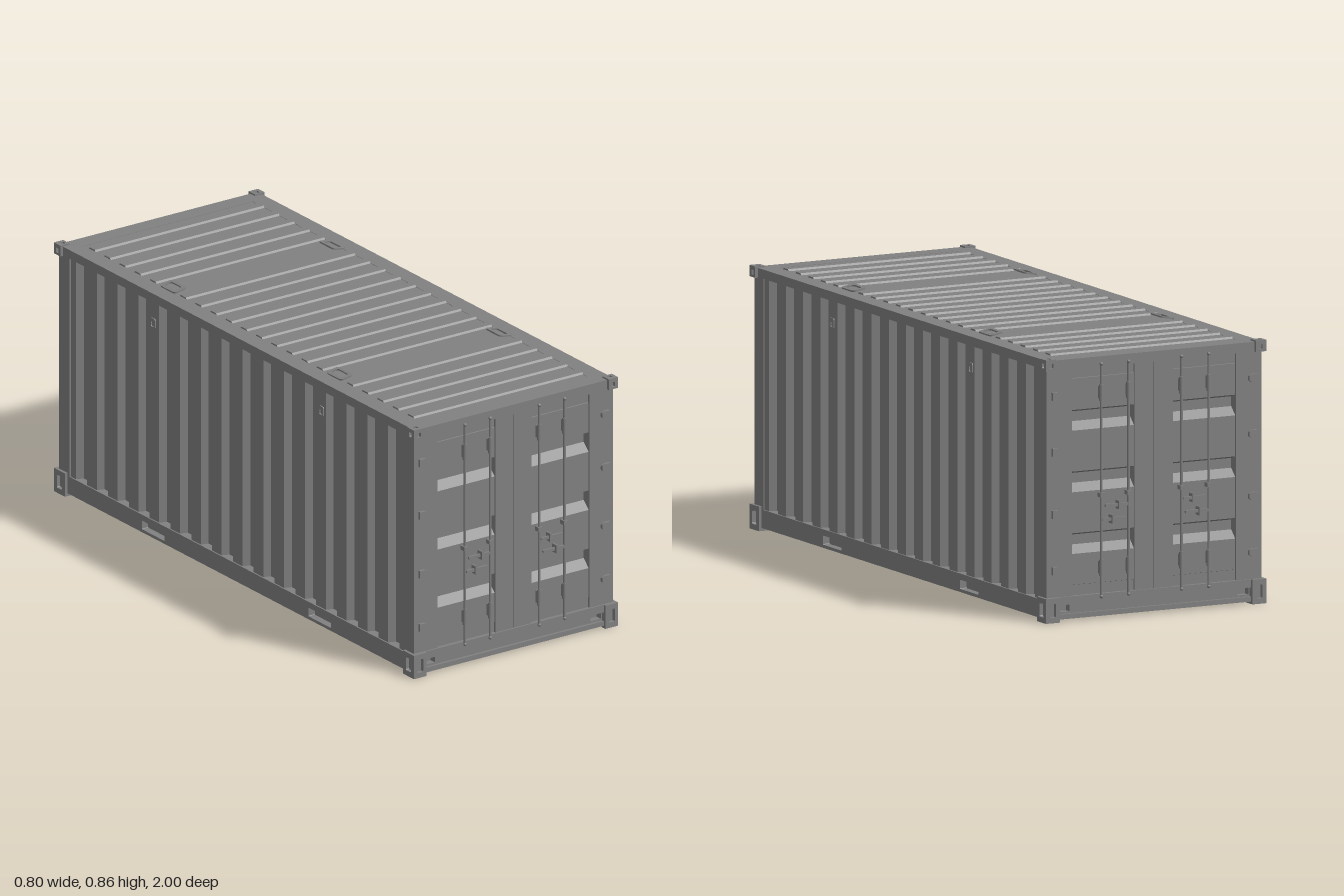
import * as THREE from 'three';

const mat = new THREE.MeshStandardMaterial({ color: 0x808080 });

function add(parent, name, geo, x = 0, y = 0, z = 0) {
  const m = new THREE.Mesh(geo, mat);
  m.name = name;
  m.position.set(x, y, z);
  parent.add(m);
  return m;
}

// Box given by its min and max on each axis
function box(parent, name, x0, x1, y0, y1, z0, z1) {
  return add(parent, name, new THREE.BoxGeometry(x1 - x0, y1 - y0, z1 - z0),
    (x0 + x1) / 2, (y0 + y1) / 2, (z0 + z1) / 2);
}

function roundRect(target, cx, cy, w, h, r) {
  const a = cx - w / 2, b = cx + w / 2, c = cy - h / 2, d = cy + h / 2;
  target.moveTo(a + r, c).lineTo(b - r, c).quadraticCurveTo(b, c, b, c + r)
    .lineTo(b, d - r).quadraticCurveTo(b, d, b - r, d)
    .lineTo(a + r, d).quadraticCurveTo(a, d, a, d - r)
    .lineTo(a, c + r).quadraticCurveTo(a, c, a + r, c);
  return target;
}

const poly = pts => new THREE.Shape(pts.map(p => new THREE.Vector2(p[0], p[1])));
const rect = (x0, x1, y0, y1) => poly([[x0, y0], [x1, y0], [x1, y1], [x0, y1]]);
const extrude = (shape, depth) => new THREE.ExtrudeGeometry(shape, { depth, bevelEnabled: false, curveSegments: 5 });

// Sends the extrusion's own axes to the given world axes
const X = new THREE.Vector3(1, 0, 0), Y = new THREE.Vector3(0, 1, 0), Z = new THREE.Vector3(0, 0, 1);
const orient = (geo, a, b, c) => geo.applyMatrix4(new THREE.Matrix4().makeBasis(a, b, c));
const alongX = (shape, w) => orient(extrude(shape, w).translate(0, 0, -w / 2), Z, Y, X.clone().negate());

// Corner block with an opening in each outer face
function cornerBlock(parent, sx, sz, y0, y1, w, d, top) {
  const g = new THREE.Group(), h = y1 - y0, t = 0.013;
  g.name = top ? 'upperCorner' : 'lowerCorner';
  const plate = (a, b) => {
    const s = rect(-a / 2, a / 2, -b / 2, b / 2);
    s.holes.push(roundRect(new THREE.Path(), 0, 0, a * 0.46, b * 0.56, 0.005));
    return extrude(s, t).translate(0, 0, -t);
  };
  const cx = sx * (0.4 - w / 2), cy = (y0 + y1) / 2, cz = sz * (0.995 - d / 2);
  const front = add(g, 'cornerEndPlate', plate(w, h), cx, cy, sz * 0.995);
  front.rotation.y = sz > 0 ? 0 : Math.PI;
  add(g, 'cornerSidePlate', plate(d, h), sx * 0.4, cy, cz).rotation.y = sx * Math.PI / 2;
  add(g, 'cornerFacePlate', plate(w, d), cx, top ? y1 : y0, cz).rotation.x = top ? -Math.PI / 2 : Math.PI / 2;
  add(g, 'cornerCore', new THREE.BoxGeometry(w - 2 * t, h - 2 * t, d - 2 * t), cx, cy, cz);
  // Closing plates toward the container
  const c = 0.006;
  add(g, 'cornerInnerPlate', new THREE.BoxGeometry(c, h, d), cx - sx * (w - c) / 2, cy, cz);
  add(g, 'cornerBackPlate', new THREE.BoxGeometry(w, h, c), cx, cy, cz - sz * (d - c) / 2);
  add(g, 'cornerClosingPlate', new THREE.BoxGeometry(w, c, d), cx, top ? y0 + c / 2 : y1 - c / 2, cz);
  parent.add(g);
}

// Long side on +x: corrugated wall, rails, fork pockets, vents
function makeSide() {
  const g = new THREE.Group();
  g.name = 'side';
  const pts = [[-0.93, 0.345], [-0.93, 0.385]];
  for (let i = 0; i < 16; i++) {
    const z = -0.8625 + i * 0.115;
    pts.push([z - 0.031, 0.385], [z - 0.023, 0.36], [z + 0.023, 0.36], [z + 0.031, 0.385]);
  }
  pts.push([0.93, 0.385], [0.93, 0.345]);
  add(g, 'corrugatedWall', orient(extrude(poly(pts), 0.76), Z, X, Y), 0, 0.065, 0);
  box(g, 'topRail', 0.33, 0.39, 0.82, 0.85, -0.965, 0.965);
  const rail = rect(-0.94, 0.94, 0.01, 0.07);
  for (const z of [-0.46, 0.46]) rail.holes.push(roundRect(new THREE.Path(), z, 0.035, 0.125, 0.03, 0.003));
  add(g, 'bottomRail', alongX(rail, 0.025), 0.3775, 0, 0);
  box(g, 'railBack', 0.355, 0.365, 0.012, 0.07, -0.94, 0.94);
  for (const z of [-0.465, 0.465]) {
    const vent = roundRect(new THREE.Shape(), z, 0.747, 0.026, 0.034, 0.006);
    vent.holes.push(roundRect(new THREE.Path(), z, 0.744, 0.016, 0.018, 0.004));
    add(g, 'vent', alongX(vent, 0.03), 0.374, 0, 0);
  }
  return g;
}

// Rod with sleeves, brackets and end pins
function lockRod(parent, x) {
  const g = new THREE.Group();
  g.name = 'lockRod';
  const cyl = (n, r, h, y) => add(g, n, new THREE.CylinderGeometry(r, r, h, 10), x, y, 0.987);
  cyl('rod', 0.0045, 0.755, 0.45);
  for (const y of [0.165, 0.733]) {
    cyl('rodSleeve', 0.0075, 0.054, y);
    box(g, 'sleeveBase', x - 0.005, x + 0.005, y - 0.02, y + 0.02, 0.97, 0.987);
  }
  box(g, 'rodBracket', x - 0.008, x + 0.008, 0.394, 0.408, 0.97, 0.995);
  for (const y of [0.071, 0.826]) add(g, 'rodPin', new THREE.SphereGeometry(0.006, 10, 8), x, y, 0.988);
  parent.add(g);
}

function handle(parent, x0, x1, y, gripX) {
  const bar = roundRect(new THREE.Shape(), (x0 + x1) / 2, y, Math.abs(x1 - x0), 0.01, 0.004);
  add(parent, 'handleBar', extrude(bar, 0.007), 0, 0, 0.987);
  const grip = roundRect(new THREE.Shape(), gripX, y, 0.008, 0.03, 0.0035);
  add(parent, 'handleCatch', extrude(grip, 0.024), 0, 0, 0.976);
}

// Door end on +z
function makeEnd() {
  const g = new THREE.Group();
  g.name = 'doorEnd';
  box(g, 'header', -0.39, 0.39, 0.817, 0.85, 0.925, 0.985);
  // Sill with a set-back web between two lips, and lashing recesses
  const sill = rect(-0.36, 0.36, 0.022, 0.08);
  for (const s of [-1, 1]) sill.holes.push(roundRect(new THREE.Path(), s * 0.325, 0.041, 0.04, 0.022, 0.002));
  add(g, 'sillWeb', extrude(sill, 0.025), 0, 0, 0.951);
  box(g, 'sillTop', -0.355, 0.355, 0.054, 0.08, 0.94, 0.986);
  box(g, 'sillLip', -0.355, 0.355, 0.008, 0.024, 0.93, 0.986);
  box(g, 'sillBack', -0.36, 0.36, 0.022, 0.08, 0.925, 0.953);

  // Panel profile (z, y) with three recesses
  const prof = [[0.935, 0.078], [0.972, 0.078], [0.972, 0.114], [0.975, 0.115]];
  for (const y of [0.215, 0.415, 0.615])
    prof.push([0.975, y], [0.948, y + 0.026], [0.948, y + 0.058], [0.975, y + 0.067]);
  prof.push([0.975, 0.784], [0.972, 0.785], [0.972, 0.82], [0.935, 0.82]);

  for (const s of [-1, 1]) {
    const span = (n, a, b, ...r) => box(g, n, Math.min(s * a, s * b), Math.max(s * a, s * b), ...r);
    span('cornerPost', 0.298, 0.39, 0.065, 0.82, 0.922, 0.98);
    span('doorMiddle', 0.001, 0.07, 0.08, 0.817, 0.935, 0.98);
    add(g, 'doorPanel', alongX(poly(prof), 0.234), s * 0.185, 0, 0);
    lockRod(g, s * 0.096);
    lockRod(g, s * 0.195);
    for (const [a, b, y, c] of [[0.1, 0.183, 0.365, 0.134], [0.108, 0.192, 0.32, 0.158]])
      handle(g, s * a, s * b, y, s * c);
    for (const y of [0.167, 0.35, 0.552, 0.733]) {
      const pts = [[0.372, -0.013], [0.372, 0.013], [0.352, 0.013], [0.343, 0.008], [0.341, 0], [0.343, -0.008], [0.352, -0.013]];
      add(g, 'hinge', extrude(poly(pts.map(q => [s * q[0], y + q[1]])), 0.018), 0, 0, 0.972);
    }
  }
  // Sloping underside web behind the sill
  add(g, 'endWeb', alongX(poly([[0.86, 0.073], [0.935, 0.012], [0.935, 0.073]]), 0.72));
  return g;
}

export function createModel() {
  const model = new THREE.Group();
  model.name = 'cargoContainer';

  for (const turn of [0, Math.PI]) {
    const side = makeSide(), end = makeEnd();
    side.rotation.y = end.rotation.y = turn;
    model.add(side, end);
  }

  for (const sx of [-1, 1]) for (const sz of [-1, 1]) {
    cornerBlock(model, sx, sz, 0, 0.08, 0.05, 0.062, false);
    cornerBlock(model, sx, sz, 0.818, 0.855, 0.037, 0.036, true);
  }

  // Roof with raised cross ribs, left flat where the lift loops sit
  const roof = [[-0.93, 0.815], [-0.93, 0.849]];
  for (let k = 0; k < 22; k++) {
    if (k === 5 || k === 16) continue;
    const z = -0.88 + k * 0.0838;
    roof.push([z - 0.019, 0.849], [z - 0.014, 0.855], [z + 0.014, 0.855], [z + 0.019, 0.849]);
  }
  roof.push([0.93, 0.849], [0.93, 0.815]);
  add(model, 'roof', alongX(poly(roof.reverse()), 0.662));

  // Tilted lift loops
  for (const sx of [-1, 1]) for (const z of [-0.46, 0.46]) {
    const s = roundRect(new THREE.Shape(), 0, 0, 0.05, 0.085, 0.014);
    s.holes.push(roundRect(new THREE.Path(), 0, 0, 0.028, 0.06, 0.008));
    const loop = add(model, 'liftLoop', extrude(s, 0.005).rotateX(-Math.PI / 2), sx * 0.311, 0.854, z);
    loop.rotation.z = -sx * 0.17;
  }

  // Floor and tapered cross members
  box(model, 'floor', -0.36, 0.36, 0.07, 0.085, -0.94, 0.94);
  const member = poly([[-0.025, 0.012], [0.025, 0.012], [0.05, 0.072], [-0.05, 0.072]]);
  for (let i = -3; i <= 3; i++)
    add(model, 'crossMember', alongX(member, 0.72), 0, 0, i * 0.26);

  return model;
}
